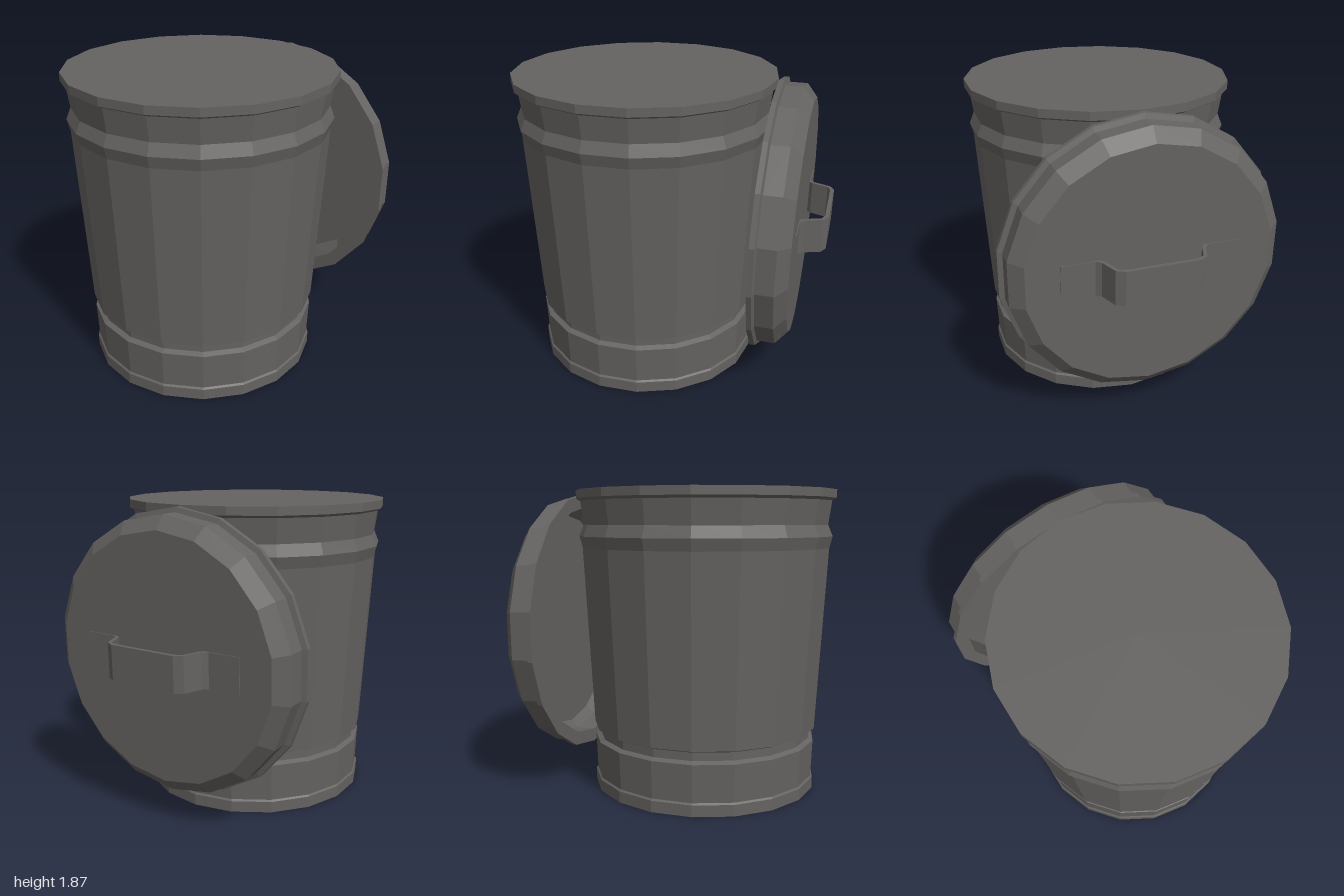
import * as THREE from 'three';

const SIDES = 18;

export function createModel() {
  const metal = new THREE.MeshStandardMaterial({ color: 0x656361, flatShading: true });
  metal.name = 'dull grey metal';

  const lathe = (name, profile) => {
    const points = profile.map(([r, y]) => new THREE.Vector2(r, y));
    const mesh = new THREE.Mesh(new THREE.LatheGeometry(points, SIDES), metal);
    mesh.name = name;
    return mesh;
  };

  const model = new THREE.Group();
  model.name = 'dustbin';

  // Tapered can: base band, groove, wall, raised hoop and top rim
  const can = lathe('can', [
    [0, 0], [0.712, 0], [0.712, 0.07], [0.702, 0.08],
    [0.711, 0.31], [0.681, 0.325], [0.681, 0.375], [0.716, 0.39],
    [0.778, 1.52], [0.797, 1.59], [0.768, 1.66], [0.788, 1.805],
    [0.815, 1.82], [0.815, 1.87], [0, 1.87],
  ]);
  can.position.z = 0.182;
  model.add(can);

  // Lid standing on edge behind the can, leaning back very slightly
  const lid = new THREE.Group();
  lid.name = 'lid';
  lid.position.set(0, 1.018, -0.622);
  lid.rotation.x = -Math.PI / 2 - 0.014;
  lid.add(lathe('lidShell', [
    [0, 0.17], [0.71, 0.17], [0.76, 0.12], [0.76, 0],
    [0.845, 0], [0.845, 0.03], [0.815, 0.04],
    [0.815, 0.148], [0.735, 0.215], [0, 0.215],
  ]));

  // Strap handle with flat end tabs, drawn as one half and mirrored
  const outer = [[0.53, 0.221], [0.335, 0.221], [0.305, 0.245], [0.265, 0.35], [0.215, 0.378]];
  const inner = [[0.205, 0.354], [0.247, 0.336], [0.285, 0.235], [0.305, 0.213], [0.53, 0.213]];
  const mirror = (pts) => pts.map(([x, y]) => [-x, y]).reverse();
  const outline = [...outer, ...mirror(outer), ...mirror(inner), ...inner];
  const shape = new THREE.Shape(outline.map(([x, y]) => new THREE.Vector2(x, y)));
  const strap = new THREE.ExtrudeGeometry(shape, { depth: 0.21, bevelEnabled: false });
  strap.translate(0, 0, -0.105);
  const handle = new THREE.Mesh(strap, metal);
  handle.name = 'lidHandle';
  lid.add(handle);
  model.add(lid);

  return model;
}
